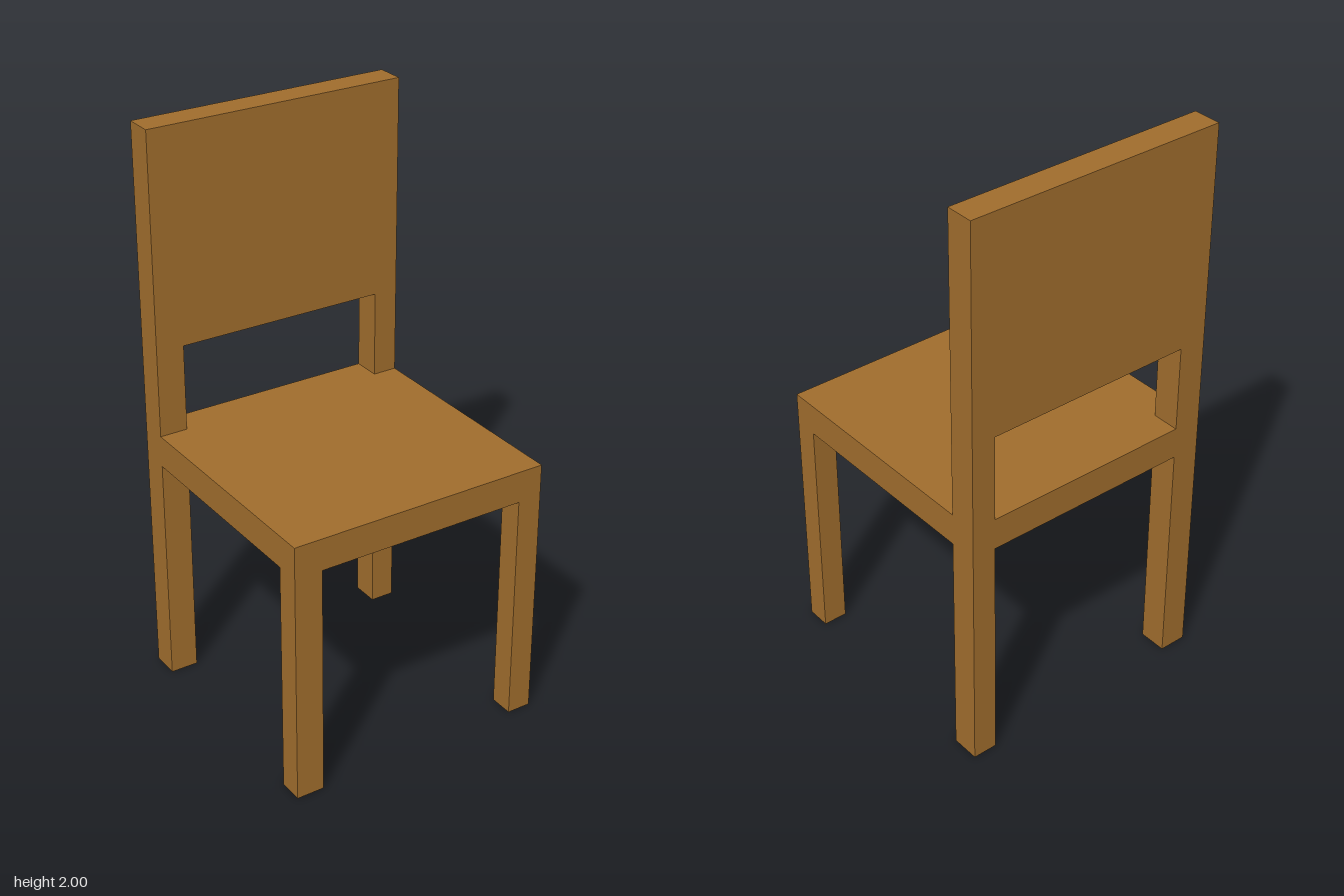
import * as THREE from 'three';

// Overall half width and depth, and the inner faces of posts and legs
const HALF = 0.467, INNER_RIGHT = -0.368, INNER_LEFT = 0.381;
const BACK_FACE = -0.367, FRONT_LEG_BACK = 0.381;
const SEAT_BOTTOM = 0.828, SEAT_TOP = 0.94, PANEL_BOTTOM = 1.246, TOP = 2;

export function createModel() {
  const chair = new THREE.Group();
  chair.name = 'chair';
  const wood = new THREE.MeshStandardMaterial({ color: 0xa06d2d });
  wood.name = 'wood';

  function add(name, geometry) {
    const mesh = new THREE.Mesh(geometry, wood);
    mesh.name = name;
    chair.add(mesh);
    return mesh;
  }

  // Box given by its lower and upper limits on each axis
  function box(name, [x0, x1], [y0, y1], [z0, z1]) {
    add(name, new THREE.BoxGeometry(x1 - x0, y1 - y0, z1 - z0))
      .position.set((x0 + x1) / 2, (y0 + y1) / 2, (z0 + z1) / 2);
  }

  const outline = (points) => points.map(([x, y]) => new THREE.Vector2(x, y));

  // Back frame: rear legs, rail, posts and back panel in one piece
  const frame = new THREE.Shape(outline([
    [-HALF, 0], [INNER_RIGHT, 0], [INNER_RIGHT, SEAT_BOTTOM], [INNER_LEFT, SEAT_BOTTOM],
    [INNER_LEFT, 0], [HALF, 0], [HALF, TOP], [-HALF, TOP],
  ]));
  // Opening between the seat and the back panel
  frame.holes.push(new THREE.Path(outline([
    [INNER_RIGHT, SEAT_TOP], [INNER_RIGHT, PANEL_BOTTOM],
    [INNER_LEFT, PANEL_BOTTOM], [INNER_LEFT, SEAT_TOP],
  ])));
  add('backFrame', new THREE.ExtrudeGeometry(frame, { depth: HALF + BACK_FACE, bevelEnabled: false }))
    .position.z = -HALF;

  // Seat slab in front of the back frame
  box('seat', [-HALF, HALF], [SEAT_BOTTOM, SEAT_TOP], [BACK_FACE, HALF]);

  // Front legs
  box('frontLegRight', [-HALF, INNER_RIGHT], [0, SEAT_BOTTOM], [FRONT_LEG_BACK, HALF]);
  box('frontLegLeft', [INNER_LEFT, HALF], [0, SEAT_BOTTOM], [FRONT_LEG_BACK, HALF]);

  return chair;
}
